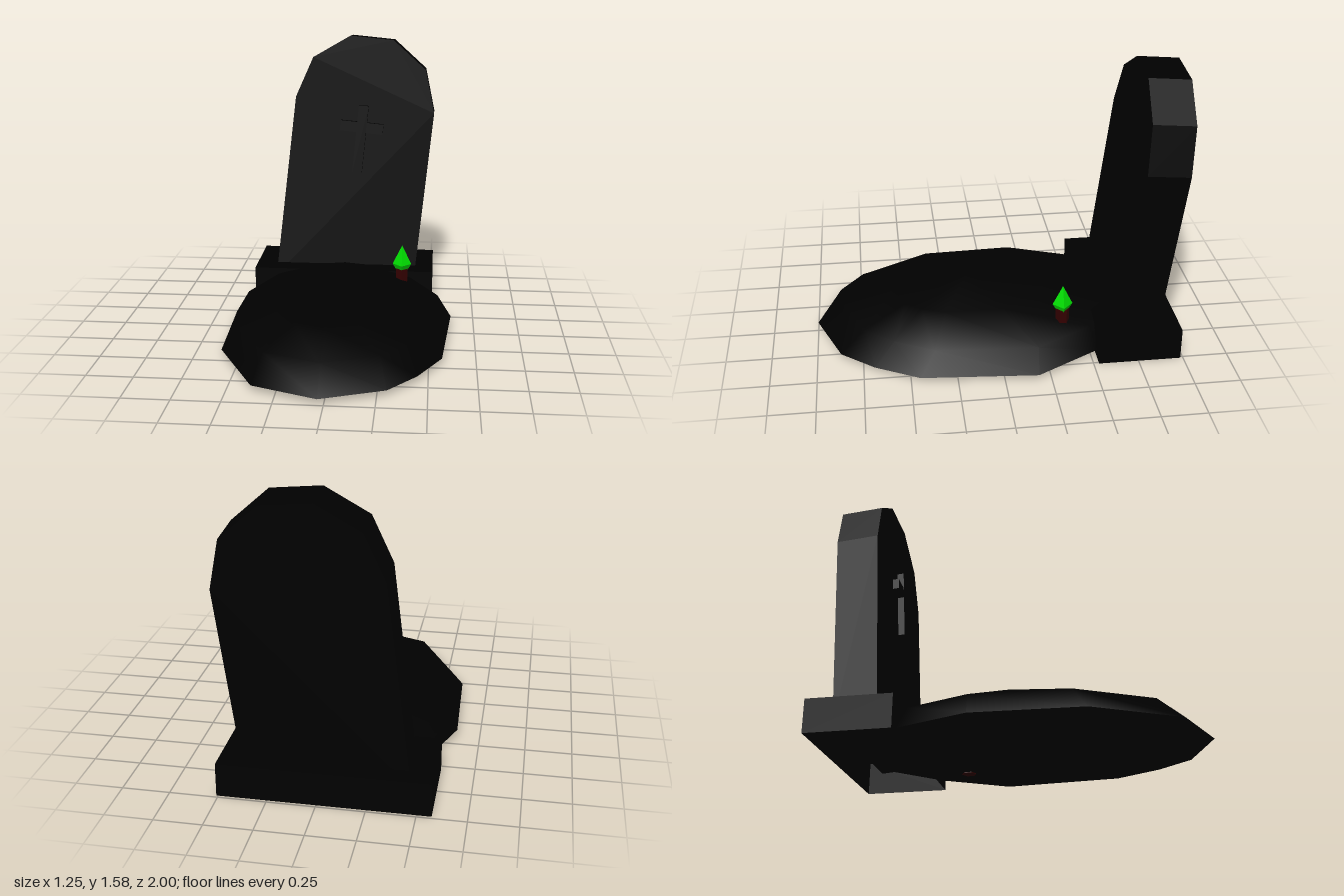
import * as THREE from 'three';

const stone = new THREE.MeshStandardMaterial({ color: 0x000000, side: THREE.DoubleSide });
stone.name = 'black stone';
const wax = new THREE.MeshStandardMaterial({ color: 0x330000 });
wax.name = 'dark red wax';
const glow = new THREE.MeshStandardMaterial({ color: 0x00dd00 });
glow.name = 'green flame';

// Ground outline of the mound as x, z pairs
const outline = [
  [-0.03, 1.0], [0.3, 0.87], [0.445, 0.69], [0.57, 0.45], [0.62, -0.18], [0.43, -0.53],
  [0.2, -0.78], [-0.03, -0.85], [-0.25, -0.78], [-0.48, -0.53], [-0.625, -0.15],
  [-0.605, 0.43], [-0.375, 0.87],
];

function add(parent, name, geometry, material, x = 0, y = 0, z = 0) {
  const mesh = new THREE.Mesh(geometry, material);
  mesh.name = name;
  mesh.position.set(x, y, z);
  parent.add(mesh);
  return mesh;
}

// Faceted copy of a geometry
function faceted(geometry) {
  const g = geometry.toNonIndexed();
  g.computeVertexNormals();
  return g;
}

// Earth surface: the outline shrunk ring by ring towards a crown, higher at the back
function moundGeometry() {
  // scale, height, shift in z, fall towards the front
  const rings = [[1, 0.033, 0, 0], [0.88, 0.155, -0.03, 0], [0.5, 0.25, 0.07, 0.05], [0, 0.285, 0.15, 0]];
  const n = outline.length, points = [], index = [];
  for (const [s, y, shift, fall] of rings) {
    for (const [x, z] of outline) points.push((x + 0.03) * s - 0.03, y - fall * z * s, z * s + shift);
  }
  for (let r = 0; r < rings.length - 1; r++) {
    for (let i = 0; i < n; i++) {
      const a = r * n + i, b = r * n + (i + 1) % n;
      index.push(a, b, a + n);
      if (r < rings.length - 2) index.push(b, b + n, a + n);
    }
  }
  const g = new THREE.BufferGeometry();
  g.setAttribute('position', new THREE.Float32BufferAttribute(points, 3));
  g.setIndex(index);
  g.computeVertexNormals();
  return g;
}

export function createModel() {
  const model = new THREE.Group();
  model.name = 'grave';

  // Mound with a flat underside
  add(model, 'mound', moundGeometry(), stone);
  const footprint = new THREE.Shape(outline.map(([x, z]) => new THREE.Vector2(x, z)));
  add(model, 'moundUnderside', new THREE.ShapeGeometry(footprint), stone, 0, 0.033, 0).rotation.x = Math.PI / 2;

  // Plinth, left open underneath
  const plinth = new THREE.BoxGeometry(1.085, 0.18, 0.455);
  const faces = Array.from(plinth.index.array);
  faces.splice(18, 6);
  plinth.setIndex(faces);
  plinth.clearGroups();
  add(model, 'plinth', plinth, stone, -0.0325, 0.09, -0.7575);

  // Headstone group leans back from the plinth; its front face is local z = 0
  const headstone = new THREE.Group();
  headstone.name = 'headstone';
  headstone.position.set(0, 0.18, -0.65);
  headstone.rotation.x = -0.086;
  model.add(headstone);

  const profile = [
    [-0.46, -0.08], [0.395, -0.08], [0.5, 0.945], [0.445, 1.205],
    [0.25, 1.38], [-0.01, 1.405], [-0.235, 1.275], [-0.34, 1.035],
  ].map(([x, y]) => new THREE.Vector2(x, y));
  const slab = new THREE.ExtrudeGeometry(new THREE.Shape(profile), { depth: 0.23, bevelEnabled: false });
  add(headstone, 'slab', slab, stone, 0, 0, -0.23);

  // Raised cross, tilted with the slab
  const cross = new THREE.Group();
  cross.name = 'cross';
  cross.position.set(0.057, 0.783, 0.008);
  cross.rotation.z = -0.093;
  headstone.add(cross);
  add(cross, 'crossUpright', new THREE.BoxGeometry(0.058, 0.41, 0.056), stone);
  add(cross, 'crossArms', new THREE.BoxGeometry(0.26, 0.062, 0.054), stone, 0, 0.073, 0);

  // Candle reaching down through the mound, with a four-sided flame
  const candle = new THREE.Group();
  candle.name = 'candle';
  candle.position.set(0.33, 0, -0.35);
  model.add(candle);
  add(candle, 'candleBody', faceted(new THREE.CylinderGeometry(0.038, 0.038, 0.232, 6)), wax, 0, 0.144, 0);
  const flame = [[0, 0.25], [0.034, 0.252], [0.055, 0.288], [0, 0.4]].map(([r, y]) => new THREE.Vector2(r, y));
  add(candle, 'flame', faceted(new THREE.LatheGeometry(flame, 4)), glow);

  return model;
}
